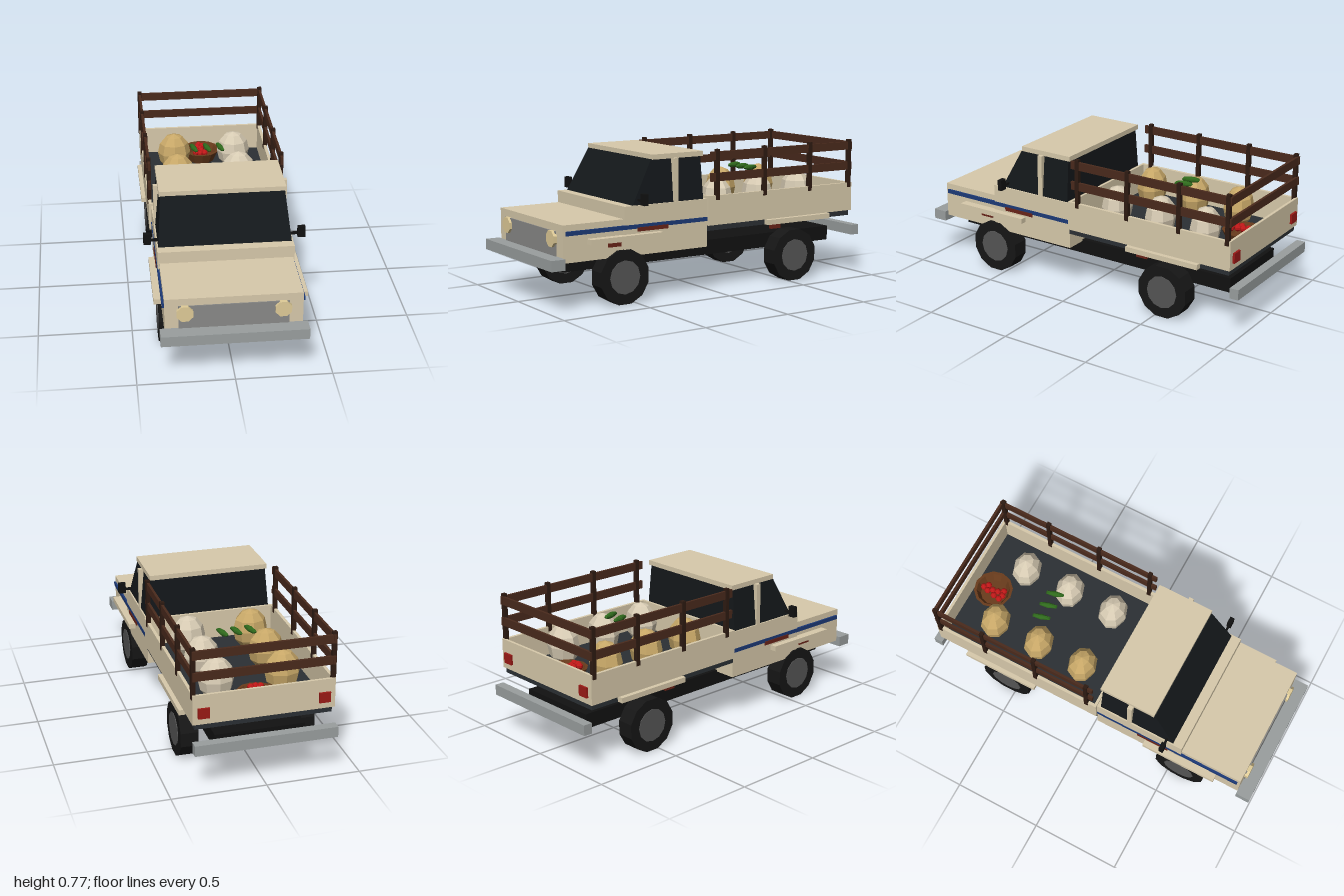
import * as THREE from 'three';

const mat = (color, side = THREE.FrontSide) =>
  new THREE.MeshStandardMaterial({ color, flatShading: true, side });

const M = {
  paint: mat(0xd8caab), steel: mat(0x9a9f9f), grille: mat(0x8a8a88), glass: mat(0x14181b),
  black: mat(0x111111), tyre: mat(0x161616), hub: mat(0x555555), bed: mat(0x2b3034),
  wood: mat(0x4a2a1c), post: mat(0x2e1b12), blue: mat(0x1c3a78), rust: mat(0x6a2418),
  lamp: mat(0xe0cc98), red: mat(0x9c1a16), tan: mat(0xc8a868), cream: mat(0xd8ccb4),
  green: mat(0x2f6a1c), basket: mat(0x6a3c1c, THREE.DoubleSide), tomato: mat(0xc01818),
};

export function createModel() {
  const truck = new THREE.Group();
  truck.name = 'farmTruck';

  const add = (name, geo, material, x = 0, y = 0, z = 0) => {
    const mesh = new THREE.Mesh(geo, material);
    mesh.name = name;
    mesh.position.set(x, y, z);
    truck.add(mesh);
    return mesh;
  };
  // Box given by its limits on each axis
  const box = (name, material, [x0, x1], [y0, y1], [z0, z1]) =>
    add(name, new THREE.BoxGeometry(x1 - x0, y1 - y0, z1 - z0), material,
      (x0 + x1) / 2, (y0 + y1) / 2, (z0 + z1) / 2);
  // The same box on both sides of the truck
  const pair = (name, material, [x0, x1], y, z) => {
    box(name + 'Left', material, [x0, x1], y, z);
    box(name + 'Right', material, [-x1, -x0], y, z);
  };

  // Chassis and bumpers
  box('chassis', M.black, [-0.24, 0.24], [0.18, 0.26], [-0.88, 0.865]);
  box('frontBumper', M.steel, [-0.375, 0.375], [0.22, 0.277], [0.92, 1]);
  box('rearBumper', M.steel, [-0.375, 0.375], [0.22, 0.277], [-1, -0.95]);

  // Hood and lower cab
  box('hood', M.paint, [-0.35, 0.35], [0.25, 0.445], [0.55, 0.92]);
  box('cabBody', M.paint, [-0.358, 0.358], [0.25, 0.51], [0.05, 0.565]);

  // Glasshouse: a box with its top drawn in
  const glass = new THREE.BoxGeometry(0.7, 0.23, 0.44);
  const p = glass.attributes.position;
  for (let i = 0; i < p.count; i++) {
    if (p.getY(i) > 0) {
      p.setX(i, Math.sign(p.getX(i)) * 0.328);
      p.setZ(i, p.getZ(i) > 0 ? 0.095 : -0.215);
    }
  }
  glass.computeVertexNormals();
  add('windows', glass, M.glass, 0, 0.625, 0.29);
  box('roof', M.paint, [-0.335, 0.335], [0.738, 0.765], [0.063, 0.38]);
  pair('doorPillar', M.paint, [0.325, 0.357], [0.51, 0.74], [0.233, 0.26]);
  pair('mirror', M.black, [0.385, 0.425], [0.515, 0.575], [0.46, 0.485]);
  pair('mirrorArm', M.black, [0.34, 0.39], [0.53, 0.542], [0.466, 0.478]);

  // Grille and headlights
  box('grille', M.grille, [-0.28, 0.28], [0.27, 0.405], [0.915, 0.926]);
  for (const s of [-1, 1]) {
    const lampGeo = new THREE.CylinderGeometry(0.045, 0.045, 0.025, 8);
    lampGeo.rotateY(Math.PI / 8).rotateX(Math.PI / 2);
    add('headlight', lampGeo, M.lamp, s * 0.248, 0.365, 0.927);
  }

  // Side trim: stripe, fender ledges and rust patches
  pair('stripe', M.blue, [0.34, 0.361], [0.39, 0.412], [0.05, 0.905]);
  pair('frontFender', M.paint, [0.34, 0.395], [0.336, 0.364], [0.35, 0.782]);
  pair('rearFender', M.paint, [0.34, 0.395], [0.336, 0.364], [-0.768, -0.333]);
  pair('doorRust', M.rust, [0.35, 0.364], [0.375, 0.396], [0.3, 0.487]);
  pair('fenderRust', M.rust, [0.34, 0.362], [0.308, 0.338], [0.585, 0.66]);
  pair('bedRust', M.rust, [0.34, 0.362], [0.306, 0.338], [-0.445, -0.38]);

  // Cargo bed
  box('bedFloor', M.bed, [-0.36, 0.36], [0.335, 0.368], [-0.935, 0.05]);
  pair('bedSide', M.paint, [0.355, 0.372], [0.365, 0.525], [-0.945, 0.05]);
  box('bedFront', M.paint, [-0.36, 0.36], [0.365, 0.525], [0.035, 0.05]);
  box('tailgate', M.paint, [-0.36, 0.36], [0.365, 0.525], [-0.945, -0.93]);
  pair('tailLight', M.red, [0.285, 0.345], [0.4, 0.455], [-0.957, -0.94]);

  // Stake sides: posts and rails
  for (const z of [-0.01, -0.325, -0.64, -0.925]) {
    pair('stakePost', M.post, [0.353, 0.376], [0.5, 0.773], [z - 0.011, z + 0.011]);
  }
  for (const y of [0.6, 0.715]) {
    pair('sideRail', M.wood, [0.357, 0.371], [y, y + 0.045], [-0.945, 0.03]);
    box('rearRail', M.wood, [-0.365, 0.365], [y, y + 0.045], [-0.942, -0.928]);
  }

  // Wheels
  for (const z of [0.567, -0.543]) {
    for (const s of [-1, 1]) {
      const tyre = new THREE.CylinderGeometry(0.148, 0.148, 0.095, 12);
      tyre.rotateY(Math.PI / 12).rotateZ(Math.PI / 2);
      add('tyre', tyre, M.tyre, s * 0.3175, 0.143, z);
      const hub = new THREE.CylinderGeometry(0.09, 0.09, 0.1, 12);
      hub.rotateZ(Math.PI / 2);
      add('hub', hub, M.hub, s * 0.3185, 0.143, z);
    }
  }

  // Sacks: cream on the left, tan on the right
  const sackGeo = new THREE.SphereGeometry(1, 8, 6);
  for (const z of [-0.14, -0.415, -0.69]) {
    for (const s of [-1, 1]) {
      const sack = add('sack', sackGeo, s > 0 ? M.cream : M.tan, s * 0.177, 0.48, z);
      sack.scale.set(0.097, 0.116, 0.08);
    }
  }

  // Green peppers
  for (const x of [-0.08, -0.003, 0.073]) {
    const pepper = add('pepper', new THREE.SphereGeometry(1, 6, 6), M.green, x, 0.615, -0.445);
    pepper.scale.set(0.016, 0.016, 0.057);
    pepper.rotation.y = 0.27;
  }

  // Basket of tomatoes
  const bowl = [[0, 0], [0.08, 0], [0.11, 0.065], [0.095, 0.065], [0.075, 0.02], [0, 0.02]]
    .map(([r, y]) => new THREE.Vector2(r, y));
  add('basket', new THREE.LatheGeometry(bowl, 12), M.basket, -0.005, 0.37, -0.81);
  const tomatoGeo = new THREE.SphereGeometry(0.019, 7, 5);
  for (const [x, z] of [[-0.015, -0.865], [0.005, -0.845], [-0.025, -0.835], [-0.01, -0.81],
    [-0.035, -0.79], [-0.005, -0.78], [-0.04, -0.755], [0.012, -0.75], [-0.015, -0.745]]) {
    add('tomato', tomatoGeo, M.tomato, x, 0.435, z);
  }

  return truck;
}
